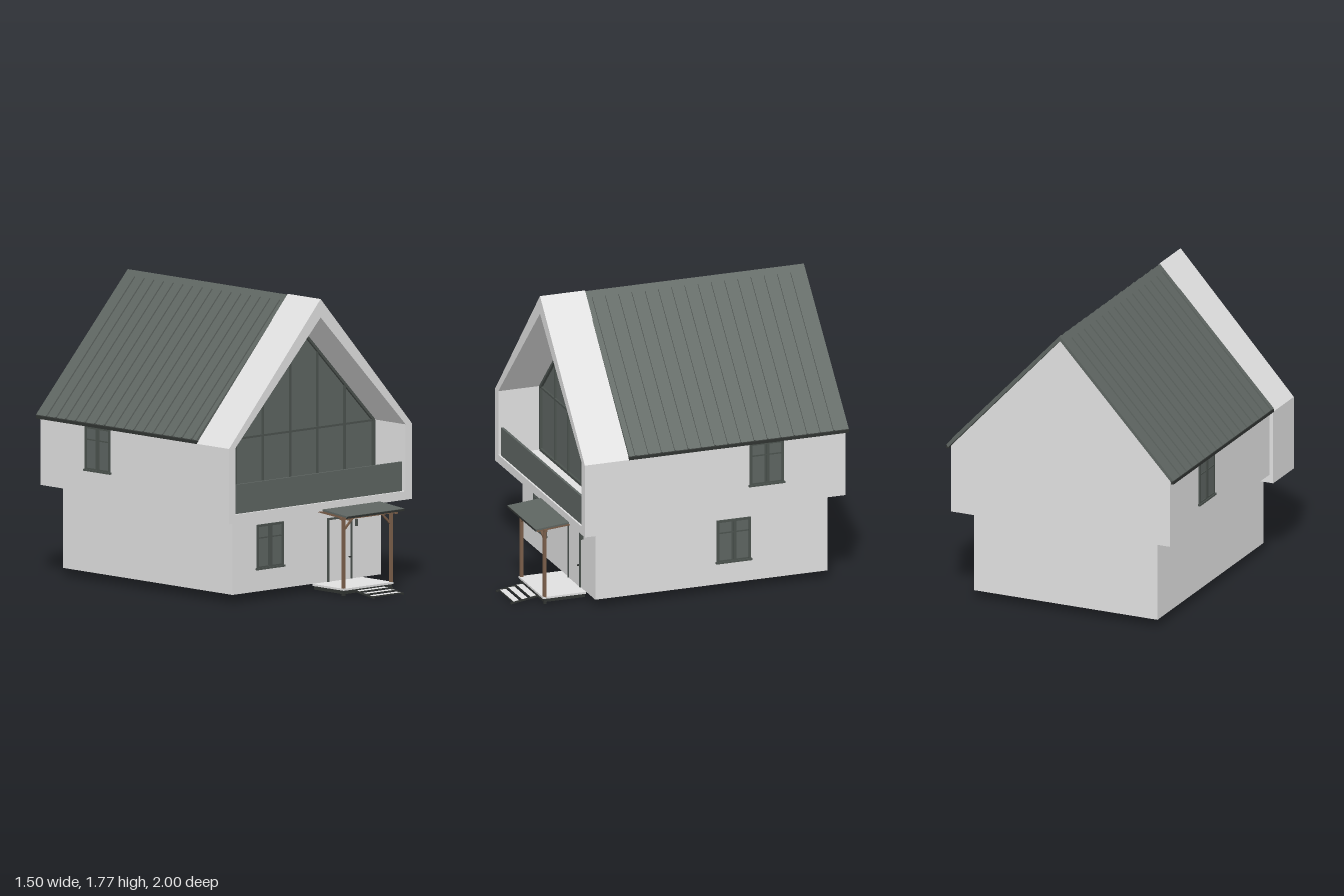
import * as THREE from 'three';

const mat = (name, color) => {
  const m = new THREE.MeshStandardMaterial({ color });
  m.name = name;
  return m;
};

export function createModel() {
  const house = new THREE.Group();
  house.name = 'house';
  const wall = mat('plaster', 0xe0e0e0);
  const metal = mat('roofMetal', 0x5e6561);
  const glass = mat('glass', 0x5d6461);
  const trim = mat('trim', 0x4b524e);
  const dark = mat('darkEdge', 0x303331);
  const wood = mat('wood', 0x7b5f4a);

  const add = (name, geo, material, parent = house) => {
    const m = new THREE.Mesh(geo, material);
    m.name = name;
    parent.add(m);
    return m;
  };
  // box given by its minimum and maximum corners
  const box = (name, material, x0, x1, y0, y1, z0, z1, parent = house) => {
    const m = add(name, new THREE.BoxGeometry(x1 - x0, y1 - y0, z1 - z0), material, parent);
    m.position.set((x0 + x1) / 2, (y0 + y1) / 2, (z0 + z1) / 2);
    return m;
  };
  // square bar between two points in the x-y plane
  const bar = (name, material, a, b, w, z0, z1, parent = house) => {
    const dx = b[0] - a[0], dy = b[1] - a[1];
    const m = add(name, new THREE.BoxGeometry(Math.hypot(dx, dy), w, z1 - z0), material, parent);
    m.position.set((a[0] + b[0]) / 2, (a[1] + b[1]) / 2, (z0 + z1) / 2);
    m.rotation.z = Math.atan2(dy, dx);
    return m;
  };
  const gable = (w, y0, eave, peak) =>
    [[-w, y0], [w, y0], [w, eave], [0, peak], [-w, eave]].map(p => new THREE.Vector2(...p));
  const prism = (name, material, points, z0, z1, hole) => {
    const s = new THREE.Shape(points);
    if (hole) s.holes.push(new THREE.Path(hole));
    const g = new THREE.ExtrudeGeometry(s, { depth: z1 - z0, bevelEnabled: false });
    g.translate(0, 0, z0);
    return add(name, g, material);
  };

  // main volumes
  box('groundFloor', wall, -0.6, 0.6, 0.05, 0.545, -0.92, 0.55);
  prism('upperFloor', wall, gable(0.715, 0.55, 0.965, 1.735), -0.99, 0.395);
  prism('balconySurround', wall, gable(0.74, 0.5, 0.95, 1.77), 0.385, 0.67,
    gable(0.688, 0.552, 0.95, 1.66));

  // roof skin, standing seams and eave edges
  const V = (x, y) => new THREE.Vector2(x, y);
  prism('roof', metal, [V(0, 1.765), V(-0.742, 0.972), V(-0.732, 0.955), V(0, 1.738),
    V(0.732, 0.955), V(0.742, 0.972)], -1, 0.388);
  for (const s of [-1, 1]) {
    for (let i = 0; i < 16; i++) {
      const z = 0.35 - i * 0.0837;
      bar('roofSeam', metal, [s * 0.033, 1.732], [s * 0.744, 0.973], 0.014, z - 0.004, z + 0.004);
    }
    box('eaveEdge', dark, s * 0.734 - 0.009, s * 0.734 + 0.009, 0.949, 0.967, -1, 0.39);
  }

  // glazed gable
  prism('gableGlass', glass, gable(0.68, 0.553, 0.95, 1.645), 0.395, 0.4);
  const ring = gable(0.672, 0.56, 0.95, 1.638);
  ring.forEach((p, i) => {
    const q = ring[(i + 1) % ring.length];
    bar('gableFrame', trim, [p.x, p.y], [q.x, q.y], 0.016, 0.4, 0.416);
  });
  for (const x of [-0.44, -0.22, 0, 0.22, 0.44]) {
    const top = 1.638 - Math.abs(x) * 1.024;
    box('gableMullion', trim, x - 0.005, x + 0.005, 0.56, top, 0.4, 0.412);
  }
  box('gableTransom', trim, -0.67, 0.67, 0.944, 0.956, 0.4, 0.412);
  box('balconyParapet', glass, -0.666, 0.666, 0.553, 0.728, 0.645, 0.66);

  // casement windows, built facing +z with the wall at z = 0
  const addWindow = (name, x, y, z, turn) => {
    const g = new THREE.Group();
    g.name = name;
    box('pane', glass, -0.105, 0.105, 0, 0.265, 0, 0.003, g);
    for (const s of [-1, 1]) {
      box('jamb', trim, s * 0.1 - 0.007, s * 0.1 + 0.007, 0, 0.268, 0, 0.009, g);
      box('sash', trim, s * 0.011 - 0.004, s * 0.011 + 0.004, 0.012, 0.256, 0, 0.007, g);
    }
    box('head', trim, -0.107, 0.107, 0.254, 0.268, 0, 0.009, g);
    box('bottomRail', trim, -0.1, 0.1, 0.006, 0.018, 0, 0.008, g);
    box('centrePost', trim, -0.005, 0.005, 0.01, 0.258, 0, 0.009, g);
    box('transom', trim, -0.1, 0.1, 0.184, 0.192, 0, 0.008, g);
    box('sill', trim, -0.114, 0.114, -0.002, 0.009, 0, 0.015, g);
    g.position.set(x, y, z);
    g.rotation.y = turn;
    house.add(g);
  };
  addWindow('frontWindow', -0.3, 0.181, 0.55, 0);
  addWindow('lowerSideWindow', 0.6, 0.181, -0.325, Math.PI / 2);
  addWindow('upperLeftWindow', 0.715, 0.681, -0.49, Math.PI / 2);
  addWindow('upperRightWindow', -0.715, 0.681, -0.49, -Math.PI / 2);

  // entrance door and wall lamp
  box('door', wall, 0.175, 0.352, 0.05, 0.42, 0.55, 0.554);
  for (const x of [0.17, 0.357]) box('doorJamb', trim, x - 0.006, x + 0.006, 0.05, 0.43, 0.55, 0.558);
  box('doorHead', trim, 0.164, 0.363, 0.418, 0.43, 0.55, 0.558);
  box('doorHandle', dark, 0.335, 0.348, 0.18, 0.187, 0.554, 0.565);
  box('wallLamp', trim, 0.389, 0.402, 0.362, 0.402, 0.55, 0.564);

  // porch: deck, posts, braces and sloping canopy
  box('deck', wall, 0.045, 0.448, 0.038, 0.05, 0.55, 0.822);
  box('deckFrame', dark, 0.052, 0.441, 0.016, 0.038, 0.555, 0.815);
  for (const s of [-1, 1]) {
    const x = 0.247 + s * 0.192;
    box('deckFoot', dark, x - 0.008, x + 0.008, 0.006, 0.018, 0.8, 0.816);
    box('porchPost', wood, x - 0.009, x + 0.009, 0.04, 0.465, 0.8, 0.818);
    bar('porchBrace', wood, [x, 0.395], [x - s * 0.075, 0.465], 0.011, 0.804, 0.814);
    const rafter = box('porchRafter', wood, x - 0.008, x + 0.008, 0.474, 0.488, 0.56, 0.86);
    rafter.rotation.x = 0.08;
  }
  box('porchBeam', wood, 0.034, 0.46, 0.46, 0.476, 0.799, 0.819);
  const canopy = box('porchRoof', metal, 0.015, 0.48, 0.492, 0.502, 0.66, 0.882);
  canopy.rotation.x = 0.09;
  box('porchRoofEdge', dark, 0.015, 0.48, 0.478, 0.49, 0.874, 0.882);

  // entrance steps
  for (const x of [0.129, 0.366]) {
    const stringer = box('stepStringer', dark, x - 0.004, x + 0.004, 0.014, 0.024, 0.82, 0.998);
    stringer.rotation.x = 0.15;
  }
  for (let i = 0; i < 3; i++) {
    const z = 0.85 + i * 0.053, y = 0.03 - i * 0.009;
    box('stepTread', wall, 0.133, 0.362, y - 0.004, y + 0.002, z - 0.02, z + 0.02);
    box('stepNosing', dark, 0.133, 0.362, y - 0.006, y + 0.002, z + 0.02, z + 0.024);
  }
  return house;
}
